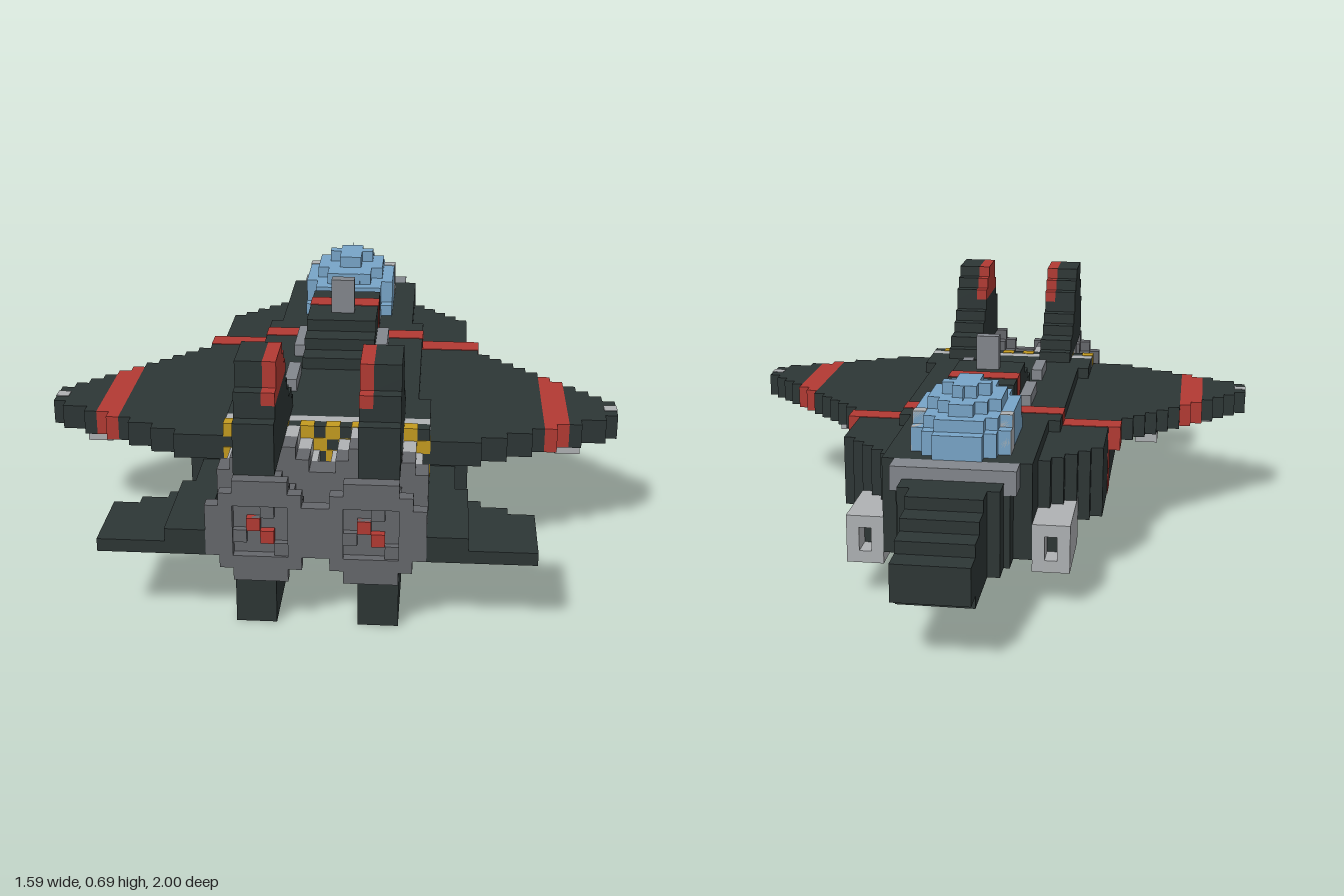
import * as THREE from 'three';
import { mergeGeometries } from 'three/addons/utils/BufferGeometryUtils.js';

const U = 1 / 29; // one block
const mat = (name, color) => Object.assign(new THREE.MeshStandardMaterial({ color }), { name });

// box given as [x0, x1, y0, y1, z0, z1] in blocks
function block([x0, x1, y0, y1, z0, z1]) {
  return new THREE.BoxGeometry((x1 - x0) * U, (y1 - y0) * U, (z1 - z0) * U)
    .translate((x0 + x1) / 2 * U, (y0 + y1) / 2 * U, (z0 + z1) / 2 * U);
}
const mirror = (boxes) => boxes.flatMap((b) => [b, [-b[1], -b[0], ...b.slice(2)]]);
const mid = (w, y0, y1, z0, z1) => [-w, w, y0, y1, z0, z1];

// blocky round plate; half widths listed from the middle row outward
function disc(cx, cy, widths, z0, z1) {
  return widths.flatMap((w, i) => [
    [cx - w, cx + w, cy + i, cy + i + 1, z0, z1],
    [cx - w, cx + w, cy - i - 1, cy - i, z0, z1]]);
}

export function createModel() {
  const model = new THREE.Group();
  const dark = mat('darkHull', 0x2d3635);
  const red = mat('redStripe', 0xb33a33);
  const light = mat('lightGrey', 0xafb2b4);
  const grey = mat('midGrey', 0x83878d);
  const engineGrey = mat('engineGrey', 0x65676b);
  const blue = mat('canopyBlue', 0x78a5c8);
  const yellow = mat('hazardYellow', 0xc49b20);
  const add = (name, material, boxes) => {
    const mesh = new THREE.Mesh(mergeGeometries(boxes.map(block)), material);
    mesh.name = name;
    model.add(mesh);
  };

  // nose and collar
  add('nose', dark, [
    mid(3, 5, 8, -29, -27), mid(3, 4, 9, -27, -25), mid(3, 4, 10, -25, -23),
    mid(3, 4, 11, -23, -21), mid(4, 4, 11, -21, -19), mid(4.5, 4, 10, -19, -17)]);
  add('noseCollar', grey, [mid(5, 10, 12, -19, -17)]);

  // fuselage, widening in steps
  add('fuselage', dark, [
    mid(6, 4, 12, -17, -5), mid(7, 11, 12, -5, 13), mid(8, 11, 12, 13, 17),
    mid(7, 5, 11, -13, -12), mid(8, 5, 11, -12, -11), mid(9, 5, 11, -11, -10),
    mid(10, 5, 11, -10, -9), mid(11, 5, 11, -9, 17), mid(8, 4, 5, -11, 17)]);
  add('spine', dark, [mid(3, 12, 15, -5, 3), mid(3, 12, 14, 3, 5), mid(3, 12, 13, 5, 7)]);
  add('antenna', grey, [mid(1, 15, 18, 0, 1)]);
  add('topRails', grey, mirror([[3, 4, 12, 13, -1, 4], [3, 4, 12, 13, 8, 12]]));

  // red band wrapped around every section of the hull
  const e = 0.05;
  add('hullBand', red, [[3, 12, 15], [7, 11, 12], [12, 9, 11], [11, 5, 9], [8, 4, 5], [4, 3, 4], [3, 2, 3]]
    .map(([w, y0, y1]) => mid(w + e, y0 - e, y1 + e, -3, -1)));

  // belly
  add('bellyTank', light, [mid(4, 3, 4, -9, 13), mid(3, 2, 3, -7, 11)]);
  add('bellySensor', light, [mid(1, 2, 4, -15, -13)]);

  // hollow intakes
  add('intakes', light, mirror([
    [6, 7, 3, 7, -17, -10], [8, 9.03, 3, 7, -17, -10],
    [7, 8, 3, 4, -17, -10], [7, 8, 6, 7, -17, -10]]));
  add('intakeBacks', dark, mirror([[7, 8, 4, 6, -15, -14]]));

  // canopy: each layer is a long narrow box crossed by a short wide one
  const layers = [[12, 4, -17, -5], [13, 4, -17, -6], [14, 4, -16, -6], [15, 3, -15, -7], [16, 2, -14, -9]];
  add('canopy', blue, layers.flatMap(([y, w, z0, z1]) => [
    mid(w - 2, y, y + 1, z0, z1), mid(w - 1, y, y + 1, z0 + 1, z1 - 0.04), mid(w, y, y + 1, z0 + 2, z1 - 2)]));
  add('canopyFrame', light, [
    ...mirror([[3, 4 + e, 12, 14, -15, -13], [3, 4 + e, 14, 15 + e, -14, -13]]), mid(3, 12, 13 + e, -6, -5 + e)]);

  // wings built from columns, with a red stripe
  const wing = [[8, 11, 9, 11, -1, 19]];
  const stripe = [];
  for (let k = 0; k < 12; k++) {
    const column = [11 + k, 12 + k, 9, 11, -1 + k, Math.floor(19 - k / 2)];
    (k === 6 || k === 7 ? stripe : wing).push(column);
  }
  add('wings', dark, mirror(wing));
  add('wingStripes', red, mirror(stripe));
  add('wingTipLamps', light, mirror([[22, 23 + e, 10, 11 + e, 11, 12]]));
  add('wingPylons', dark, mirror([[13, 15, 8, 9, 6, 10]]));
  add('wingPods', light, mirror([[13, 15, 7, 8, 6, 10], [18, 20, 8, 9, 10, 14]]));

  // flat tail wings
  add('tailWings', dark, mirror([
    [8, 10, 6, 8, 17, 21], [8, 11, 6, 8, 21, 29], [11, 12, 6, 7, 21, 29],
    [12, 14, 6, 7, 22, 29], [14, 16, 6, 7, 23, 29]]));

  // upper and lower fins, one row at a time
  const upper = [[15, 28], [16, 28], [18, 28], [19, 28], [20, 27], [20, 27], [21, 26], [22, 26]];
  const finRows = [];
  const finRed = [];
  upper.forEach(([z0, z1], i) => {
    const y = 12 + i;
    finRows.push([y >= 17 ? 4 : 3, 6, y, y + 1, z0, z1]);
    if (y >= 17) finRed.push([3, 4, y, y + 1, z0, z1]);
  });
  add('upperFins', dark, mirror(finRows));
  add('finStripes', red, mirror(finRed));
  add('lowerFins', dark, mirror([[21, 28], [19, 28], [17, 28], [17, 28]]
    .map(([z0, z1], y) => [3, 6, y, y + 1, z0, z1])));

  // rear bulkhead with a checkered hazard ring
  add('rearBulkhead', light, [mid(8, 4, 12, 17, 18)]);
  add('hazardBase', dark, [mid(8, 4, 12, 18, 19)]);
  const checks = [];
  for (let i = -8; i < 8; i++) {
    for (let j = 4; j < 12; j++) {
      if ((i + j) % 2) checks.push([i - e, i + 1 + e, j - e, j + 1 + e, 18, 19 + e]);
    }
  }
  add('hazardChecks', yellow, checks);

  // twin engines
  const housing = [], collar = [], nozzle = [], core = [];
  for (const cx of [-4, 4]) {
    collar.push(...disc(cx, 8, [3.5, 3.5, 3, 2], 19, 21));
    housing.push(...disc(cx, 8, [4, 4, 3, 2], 21, 23), ...disc(cx, 8, [2, 1], 23, 27));
    nozzle.push(...disc(cx, 8, [3, 3, 2], 27, 28.3));
    // rim around the recessed exhaust
    for (const s of [-1, 1]) {
      const y = (a, b) => (s > 0 ? [8 + a, 8 + b] : [8 - b, 8 - a]);
      nozzle.push([cx - 3, cx + 3, ...y(2, 3), 28, 29], [cx - 2, cx + 2, ...y(3, 4), 28, 29]);
      const x = s > 0 ? [cx + 2, cx + 4] : [cx - 4, cx - 2];
      nozzle.push([...x, 6, 10, 28, 29]);
    }
    for (let i = -2; i < 2; i++) {
      for (let j = -2; j < 2; j++) {
        if ((i * 3 + j * 5 + 32) % 4 === 1) nozzle.push([cx + i, cx + i + 1, 8 + j, 9 + j, 28, 28.8]);
      }
    }
    core.push([cx - 1, cx, 8, 9, 28, 28.9], [cx, cx + 1, 7, 8, 28, 28.9]);
  }
  add('engineCollars', light, collar);
  add('engineHousings', engineGrey, housing);
  add('engineNozzles', engineGrey, nozzle);
  add('engineCores', red, core);

  return model;
}
